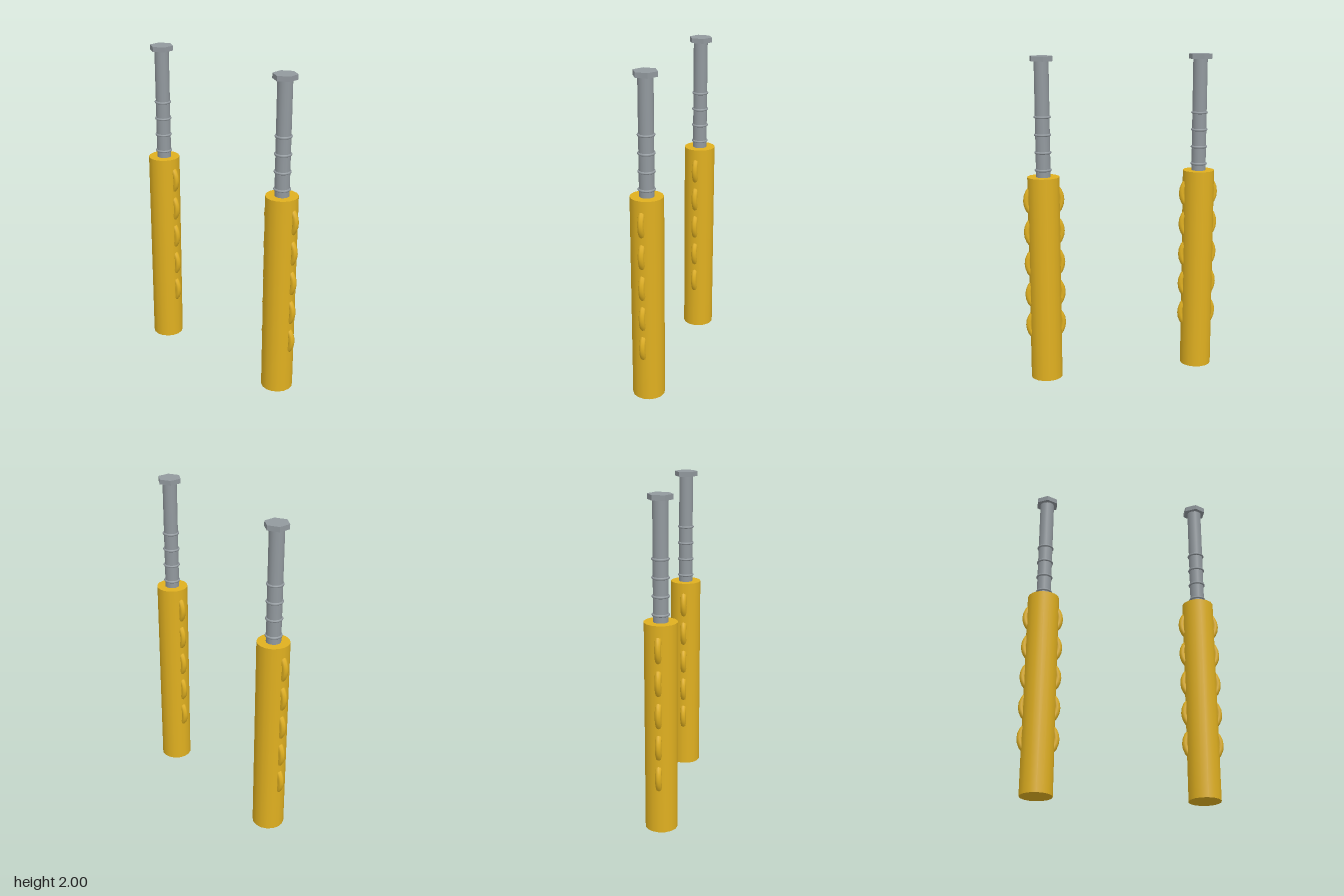
import * as THREE from 'three';

const yellow = new THREE.MeshStandardMaterial({ color: 0xe0b020 });
const grey = new THREE.MeshStandardMaterial({ color: 0x92999e });
const headGrey = new THREE.MeshStandardMaterial({ color: 0x92999e, flatShading: true });

function add(parent, name, geometry, material, y) {
  const mesh = new THREE.Mesh(geometry, material);
  mesh.name = name;
  mesh.position.y = y;
  parent.add(mesh);
  return mesh;
}

// One anchor: ribbed sleeve with a hex-headed bolt standing in it
function createAnchor(name) {
  const anchor = new THREE.Group();
  anchor.name = name;

  // Sleeve, with upright rings whose sides break through as ribs
  add(anchor, 'sleeve', new THREE.CylinderGeometry(0.098, 0.098, 1.28, 16), yellow, 0.64);
  const rib = new THREE.TorusGeometry(0.107, 0.0195, 8, 24);
  for (let i = 0; i < 5; i++) add(anchor, 'sleeveRib', rib, yellow, 0.348 + i * 0.197);

  // Bolt shank and hexagonal head
  add(anchor, 'boltShank', new THREE.CylinderGeometry(0.0443, 0.0443, 0.78, 16), grey, 1.59);
  add(anchor, 'boltHead', new THREE.CylinderGeometry(0.073, 0.073, 0.03, 6), headGrey, 1.985);

  // Thread rings around the shank
  const thread = new THREE.TorusGeometry(0.0445, 0.0075, 8, 24).rotateX(Math.PI / 2);
  for (let i = 0; i < 4; i++) add(anchor, 'threadRing', thread, grey, 1.322 + i * 0.1065);
  return anchor;
}

export function createModel() {
  const model = new THREE.Group();
  model.name = 'wallAnchors';
  for (const [name, x] of [['leftAnchor', 0.492], ['rightAnchor', -0.492]]) {
    const anchor = createAnchor(name);
    anchor.position.x = x;
    model.add(anchor);
  }
  return model;
}
